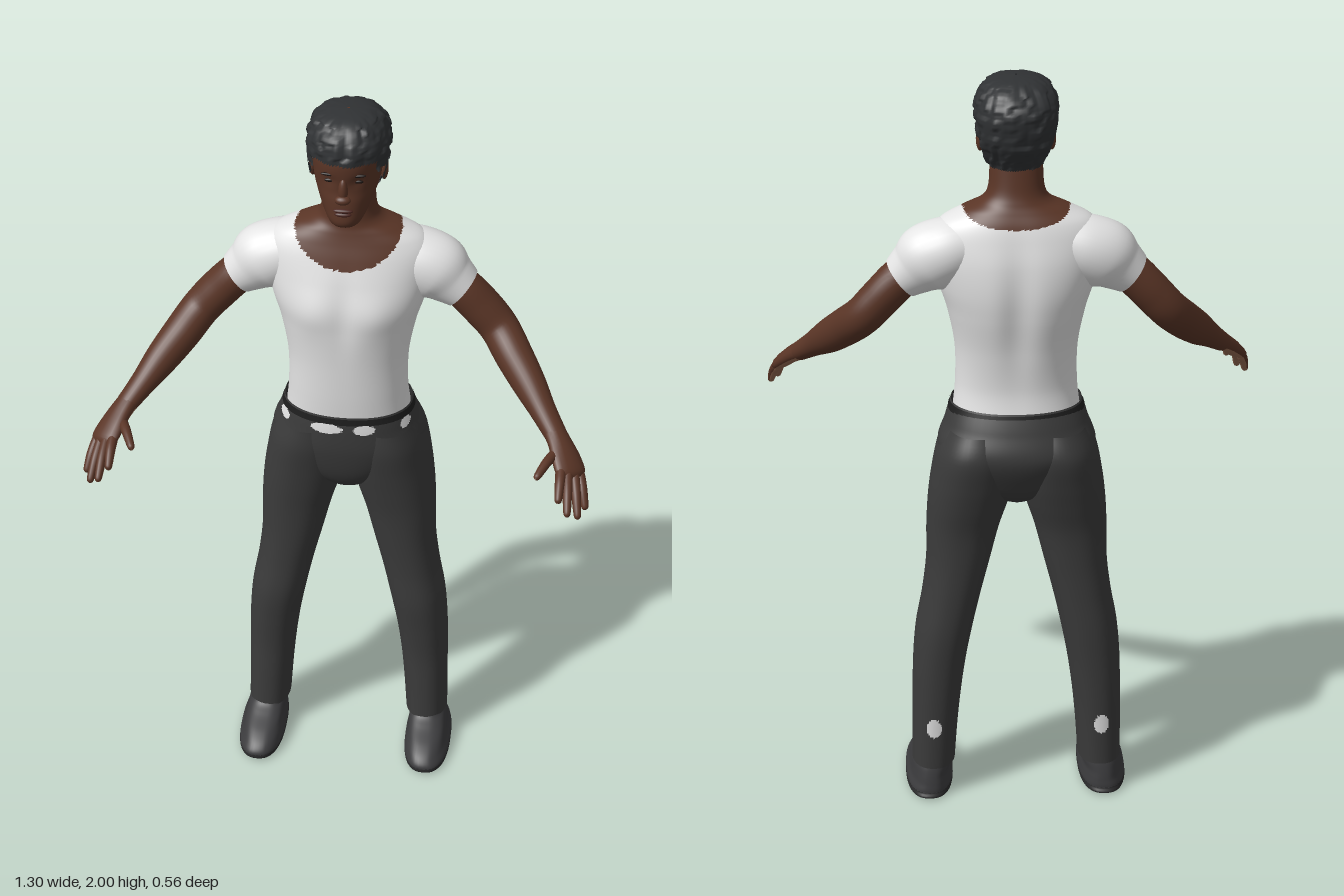
import * as THREE from 'three';

const mat = (name, color, side = THREE.FrontSide) => {
  const m = new THREE.MeshStandardMaterial({ color, side });
  m.name = name;
  return m;
};

// Smooth interpolation through rows of numbers, t from 0 to 1
function sample(rows, t) {
  const f = t * (rows.length - 1), i = Math.min(Math.floor(f), rows.length - 2), k = f - i;
  const at = (j) => rows[Math.max(0, Math.min(rows.length - 1, j))];
  const [a, b, c, d] = [at(i - 1), at(i), at(i + 1), at(i + 2)];
  return b.map((_, n) => b[n] + 0.5 * k * (c[n] - a[n] + k * (2 * a[n] - 5 * b[n] + 4 * c[n] - d[n]
    + k * (3 * (b[n] - c[n]) + d[n] - a[n]))));
}

// Closed-around grid surface; pick(p, u) gives a material index, or -1 to leave a face out
function surface(name, mats, nU, nV, point, pick) {
  const pos = [], lists = mats.map(() => []);
  for (let v = 0; v <= nV; v++)
    for (let u = 0; u < nU; u++) pos.push(...point(u / nU, v / nV).toArray());
  const geo = new THREE.BufferGeometry();
  geo.setAttribute('position', new THREE.Float32BufferAttribute(pos, 3));
  const P = (i) => new THREE.Vector3().fromArray(pos, i * 3);
  for (let v = 0; v < nV; v++)
    for (let u = 0; u < nU; u++) {
      const a = v * nU + u, b = v * nU + (u + 1) % nU, c = b + nU, d = a + nU;
      for (const tri of [[a, b, c], [a, c, d]]) {
        const mid = P(tri[0]).add(P(tri[1])).add(P(tri[2])).divideScalar(3);
        const m = pick ? pick(mid, (u + 0.5) / nU) : 0;
        if (m >= 0) lists[m].push(...tri);
      }
    }
  geo.setIndex(lists.flat());
  geo.computeVertexNormals();
  let start = 0;
  lists.forEach((l, i) => { if (mats.length > 1) geo.addGroup(start, l.length, i); start += l.length; });
  const mesh = new THREE.Mesh(geo, mats.length > 1 ? mats : mats[0]);
  mesh.name = name;
  return mesh;
}

// Upright loft: rows are [y, xMin, xMax, zFront, zBack], rising in y
function loft(name, mats, rows, { nU = 48, nV = 48, e = 2.2, warp, pick } = {}) {
  const pw = (s) => Math.sign(s) * Math.abs(s) ** (2 / e);
  return surface(name, mats, nU, nV, (u, v) => {
    const [y, x0, x1, zf, zb] = sample(rows, v), a = u * Math.PI * 2;
    const p = new THREE.Vector3((x0 + x1) / 2 + pw(Math.sin(a)) * (x1 - x0) / 2, y,
      (zf + zb) / 2 + pw(Math.cos(a)) * (zf - zb) / 2);
    if (warp) warp(p, new THREE.Vector3(Math.sin(a), 0, Math.cos(a)), u, v);
    return p;
  }, pick);
}

// Limb along a path: rows are [x, y, z, width radius, thickness radius]
function limb(name, mats, rows, { nU = 20, nV = 28, across = [0.82, -0.35, -0.45], pick } = {}) {
  const at = (t) => new THREE.Vector3(...sample(rows, t).slice(0, 3));
  return surface(name, mats, nU, nV, (u, v) => {
    const r = sample(rows, v), a = u * Math.PI * 2;
    const T = at(Math.min(1, v + 0.01)).sub(at(Math.max(0, v - 0.01))).normalize();
    const A = new THREE.Vector3(...across);
    A.addScaledVector(T, -A.dot(T)).normalize();
    const B = new THREE.Vector3().crossVectors(T, A);
    return at(v).addScaledVector(A, Math.cos(a) * Math.max(r[3], 0.0005))
      .addScaledVector(B, Math.sin(a) * Math.max(r[4], 0.0005));
  }, pick);
}

function ball(name, m, [x, y, z], [rx, ry, rz], tilt = 0) {
  const geo = new THREE.SphereGeometry(1, 20, 14).scale(rx, ry, rz).rotateZ(tilt).translate(x, y, z);
  const mesh = new THREE.Mesh(geo, m);
  mesh.name = name;
  return mesh;
}

function mirrored(mesh) {
  const geo = mesh.geometry.clone().scale(-1, 1, 1), ix = geo.index.array;
  for (let i = 0; i < ix.length; i += 3) [ix[i + 1], ix[i + 2]] = [ix[i + 2], ix[i + 1]];
  const m = new THREE.Mesh(geo, mesh.material);
  m.name = mesh.name.replace('left', 'right');
  return m;
}

const sym = (rows) => rows.map(([y, rx, zf, zb]) => [y, -rx, rx, zf, zb]);
const hash = (a, b) => { const s = Math.sin(a * 127.1 + b * 311.7) * 43758.5; return s - Math.floor(s); };
const bell = (x, w) => Math.exp(-(x * x) / (w * w));
const inOval = (p, x, y, rx, ry) => ((p.x - x) / rx) ** 2 + ((p.y - y) / ry) ** 2 < 1;

export function createModel() {
  const model = new THREE.Group();
  model.name = 'standingMan';
  const D = THREE.DoubleSide;
  const skin = mat('skin', 0x5a3526), palm = mat('palm', 0x966b52), lip = mat('lips', 0x4a2620);
  const shirt = mat('shirt', 0xe4e4e4, D), cloth = mat('trousers', 0x3b3b3b, D);
  const belt = mat('belt', 0x1e1e1e), shoe = mat('shoe', 0x3c3c3e), sole = mat('sole', 0x2a2a2b);
  const hair = mat('hair', 0x303234, D), dark = mat('browsAndEyes', 0x1c1411);
  const add = (...m) => model.add(...m);
  const pair = (...ms) => ms.forEach((m) => model.add(m, mirrored(m)));

  // Torso and neck in one surface, with the scooped neckline as a colour split
  const torso = sym([[1.13, 0.163, 0, -0.232], [1.2, 0.156, 0.005, -0.222], [1.3, 0.157, 0.01, -0.232],
    [1.4, 0.175, 0.016, -0.25], [1.47, 0.196, 0.014, -0.255], [1.54, 0.212, -0.005, -0.248],
    [1.6, 0.215, -0.026, -0.232], [1.64, 0.19, -0.042, -0.218], [1.668, 0.137, -0.052, -0.203],
    [1.69, 0.088, -0.058, -0.192], [1.72, 0.07, -0.06, -0.182], [1.78, 0.066, -0.06, -0.172]]);
  add(loft('shirtAndNeck', [shirt, skin], torso, {
    nU: 112, nV: 100,
    warp: (p, n) => {
      if (n.z < 0) p.z += 0.014 * bell(p.x, 0.04) * bell(p.y - 1.42, 0.16);
      else p.z += 0.008 * bell(Math.abs(p.x) - 0.085, 0.05) * bell(p.y - 1.46, 0.06) - 0.006 * bell(p.x, 0.03) * bell(p.y - 1.46, 0.1);
    },
    pick: (p) => (p.y > 1.685 || inOval(p, 0, 1.685, 0.138, p.z > -0.125 ? 0.105 : 0.05) ? 1 : 0),
  }));
  pair(limb('leftSleeve', [shirt], [[0.1, 1.585, -0.14, 0.07, 0.065], [0.165, 1.565, -0.14, 0.086, 0.082],
    [0.222, 1.538, -0.137, 0.084, 0.088], [0.26, 1.51, -0.134, 0.067, 0.07], [0.29, 1.487, -0.132, 0.058, 0.057]],
  { nU: 32, across: [0, 0, -1] }));

  // Bare arms, hands and fingers; the underside of each hand is paler
  pair(limb('leftArm', [skin], [[0.24, 1.525, -0.134, 0.05, 0.05], [0.29, 1.487, -0.131, 0.052, 0.052],
    [0.34, 1.435, -0.13, 0.053, 0.051], [0.387, 1.382, -0.12, 0.051, 0.05], [0.43, 1.333, -0.07, 0.049, 0.049],
    [0.475, 1.285, -0.015, 0.043, 0.044], [0.515, 1.243, 0.038, 0.035, 0.033], [0.552, 1.205, 0.085, 0.031, 0.026]],
  { nU: 28, nV: 40 }));
  const underside = (p, u) => (u > 0.56 && u < 0.94 ? 1 : 0);
  const hand = (name, rows) => pair(limb(name, [skin, palm], rows, { nU: 16, nV: 18, pick: underside }));
  hand('leftHand', [[0.545, 1.212, 0.076, 0.03, 0.026], [0.567, 1.19, 0.108, 0.036, 0.023],
    [0.586, 1.165, 0.142, 0.044, 0.021], [0.6, 1.143, 0.17, 0.041, 0.017], [0.606, 1.133, 0.182, 0.001, 0.001]]);
  const fingers = [
    ['leftIndexFinger', [0.573, 1.158, 0.177], [0.572, 1.115, 0.258]],
    ['leftMiddleFinger', [0.59, 1.149, 0.177], [0.597, 1.088, 0.276]],
    ['leftRingFinger', [0.607, 1.139, 0.168], [0.624, 1.065, 0.252]],
    ['leftLittleFinger', [0.621, 1.131, 0.155], [0.641, 1.067, 0.212]],
    ['leftThumb', [0.558, 1.18, 0.128], [0.512, 1.168, 0.234]],
  ];
  for (const [name, a, b] of fingers) {
    const row = (t, r, lift = 0) => [...a.map((c, i) => c + (b[i] - c) * t + (i === 1 ? lift : 0)), r, r];
    hand(name, [row(-0.2, 0.011), row(0, 0.0135), row(0.45, 0.0125, 0.007), row(0.8, 0.0105, 0.003), row(0.95, 0.008), row(1, 0.0008)]);
  }

  // Trousers: seat and two legs
  const seat = sym([[0.865, 0.015, -0.09, -0.16], [0.9, 0.08, -0.04, -0.22], [0.95, 0.15, -0.01, -0.255],
    [1.03, 0.203, 0.008, -0.284], [1.1, 0.184, 0.01, -0.262], [1.15, 0.168, 0.006, -0.24]]);
  const leg = [[0.09, 0.168, 0.284, -0.04, -0.205], [0.2, 0.16, 0.282, -0.043, -0.21], [0.3, 0.15, 0.28, -0.045, -0.215],
    [0.4, 0.136, 0.277, -0.038, -0.22], [0.5, 0.117, 0.268, -0.03, -0.225], [0.6, 0.095, 0.25, -0.034, -0.225],
    [0.7, 0.07, 0.238, -0.033, -0.226], [0.8, 0.045, 0.236, -0.028, -0.232], [0.88, 0.02, 0.231, -0.018, -0.25],
    [0.95, 0.005, 0.222, -0.008, -0.266], [1.03, 0.004, 0.206, 0.003, -0.278], [1.09, 0.02, 0.18, 0, -0.255]];
  add(loft('trouserSeat', [cloth], seat));
  pair(loft('leftTrouserLeg', [cloth], leg, { nV: 60 }));

  // Belt, and pale patches on the waistband and calves
  add(loft('belt', [belt], sym([[1.128, 0.176, 0.011, -0.249], [1.146, 0.171, 0.009, -0.243]]), { nV: 2 }));
  const out = (p, n) => p.addScaledVector(n, 0.003);
  const spots = [[-0.045, 0.043], [0.055, 0.028], [0.157, 0.012], [-0.16, 0.013]];
  add(loft('waistPatches', [shirt], seat, {
    nU: 180, nV: 90, warp: out,
    pick: (p) => (p.z > -0.1 && spots.some(([x, r]) => inOval(p, x, 1.115, r, 0.015)) ? 0 : -1),
  }));
  pair(loft('leftCalfPatch', [shirt], leg, {
    nU: 90, nV: 200, warp: out, pick: (p) => (p.z < -0.15 && inOval(p, 0.225, 0.22, 0.02, 0.03) ? 0 : -1),
  }));

  // Shoes
  pair(loft('leftShoe', [shoe, sole], [[0.001, 0.234, 0.242, -0.05, -0.06], [0, 0.18, 0.295, 0.078, -0.205],
    [0.018, 0.173, 0.301, 0.095, -0.212], [0.04, 0.176, 0.292, 0.08, -0.21], [0.06, 0.18, 0.287, 0.045, -0.207],
    [0.08, 0.18, 0.282, -0.01, -0.203], [0.1, 0.182, 0.275, -0.045, -0.198], [0.14, 0.185, 0.27, -0.055, -0.19]],
  { e: 2.5, pick: (p) => (p.y < 0.017 ? 1 : 0) }));

  // Head
  add(loft('head', [skin], sym([[1.714, 0.012, -0.02, -0.05], [1.722, 0.035, 0.003, -0.085], [1.738, 0.047, 0.013, -0.11],
    [1.765, 0.06, 0.012, -0.135], [1.795, 0.072, 0.01, -0.165], [1.825, 0.082, 0.006, -0.19], [1.865, 0.088, 0.012, -0.215],
    [1.905, 0.091, 0.012, -0.225], [1.95, 0.083, -0.004, -0.21], [1.975, 0.05, -0.04, -0.16], [1.982, 0.004, -0.1, -0.11]]),
  { e: 2.1, warp: (p, n) => { if (n.z > 0) p.z -= 0.006 * bell(Math.abs(p.x) - 0.034, 0.018) * bell(p.y - 1.85, 0.014); } }));

  // Cropped hair with a stepped, tufted surface
  const hairline = (z) => (z > -0.03 ? 1.9 : z > -0.065 ? 1.868 : z > -0.088 ? 1.83 : z > -0.125 ? 1.862 : 1.775);
  add(loft('hair', [hair], sym([[1.765, 0.068, 0.01, -0.17], [1.8, 0.084, 0.014, -0.197], [1.84, 0.094, 0.016, -0.226],
    [1.88, 0.1, 0.018, -0.24], [1.92, 0.103, 0.018, -0.243], [1.95, 0.097, 0.01, -0.232], [1.977, 0.08, -0.012, -0.2],
    [1.992, 0.05, -0.045, -0.165], [1.998, 0.003, -0.1, -0.106]]), {
    nU: 84, nV: 56,
    warp: (p, n, u, v) => p.addScaledVector(n, (hash(Math.floor(u * 42), Math.floor(v * 14)) - 0.5) * 0.009 * Math.min(1, (1 - v) * 4)),
    pick: (p) => (p.y > hairline(p.z) ? 0 : -1),
  }));

  // Face and ears
  add(ball('noseBridge', skin, [0, 1.828, 0.009], [0.012, 0.034, 0.013]));
  add(ball('noseTip', skin, [0, 1.807, 0.016], [0.02, 0.012, 0.014]));
  add(ball('upperLip', lip, [0, 1.774, 0.011], [0.025, 0.006, 0.008]));
  add(ball('lowerLip', lip, [0, 1.764, 0.011], [0.021, 0.006, 0.008]));
  pair(ball('leftBrow', dark, [0.035, 1.869, 0.001], [0.021, 0.004, 0.005], 0.08),
    ball('leftEye', dark, [0.034, 1.85, -0.005], [0.014, 0.005, 0.005]),
    ball('leftEar', skin, [0.089, 1.838, -0.105], [0.01, 0.032, 0.02]));
  return model;
}
